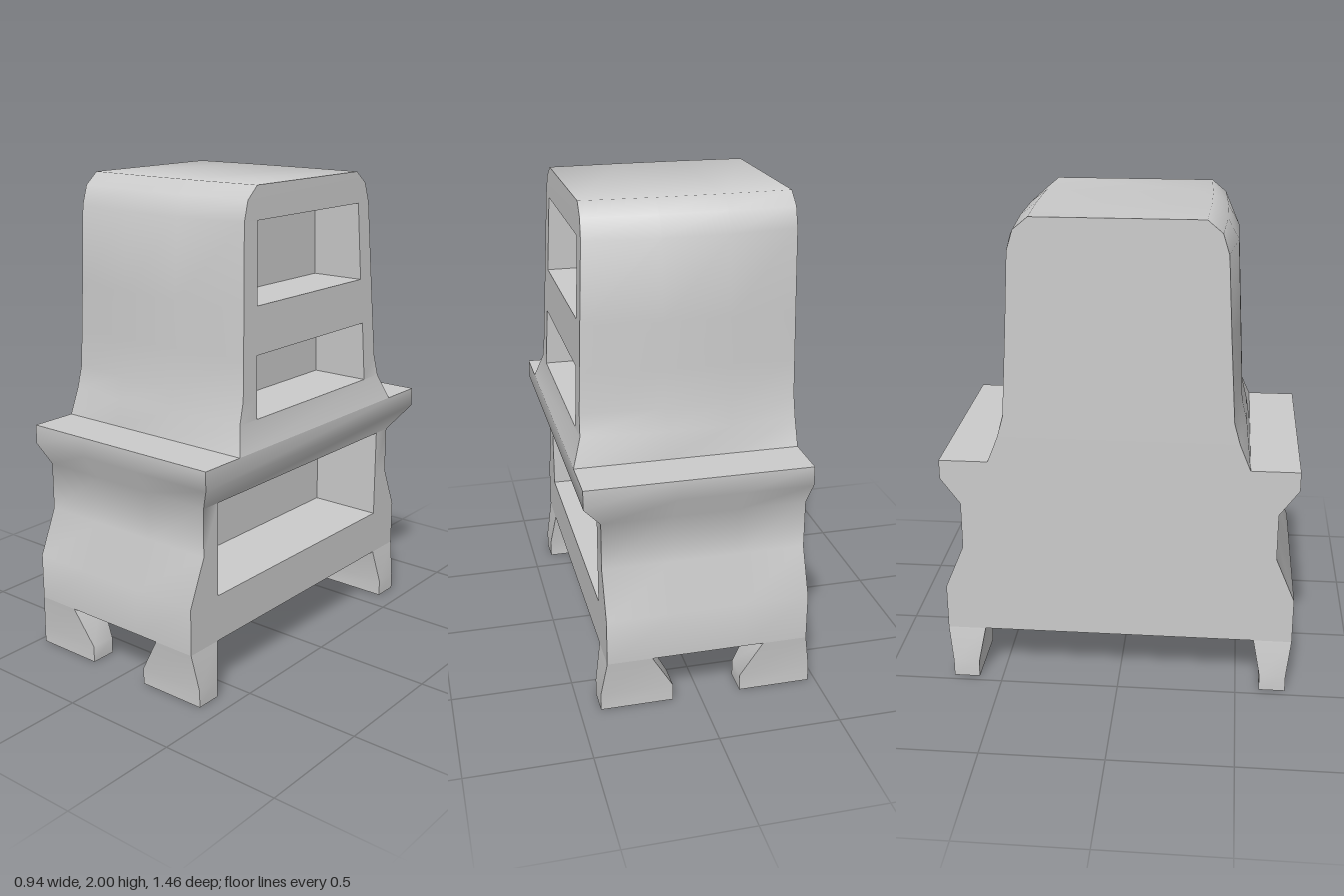
import * as THREE from 'three';
import { toCreasedNormals } from 'three/addons/utils/BufferGeometryUtils.js';

const BACK = -0.445;

// Collects quads (corners counter-clockwise from outside) into one geometry.
function quadSet() {
  const pos = [];
  return {
    quad(a, b, c, d) { for (const p of [a, b, c, a, c, d]) pos.push(...p); },
    mesh(name, material, crease = 0.7) {
      const g = new THREE.BufferGeometry();
      g.setAttribute('position', new THREE.Float32BufferAttribute(pos, 3));
      const m = new THREE.Mesh(toCreasedNormals(g, crease), material);
      m.name = name;
      return m;
    },
  };
}

// Levels from bottom to top: height, half width mid-side, half width at the ends, front x,
// and optionally an opening up to the next level: half width below, above, back wall x.
const levels = [
  { y: 0.225, zm: 0.73, ze: 0.73, x: 0.39 },
  { y: 0.42, zm: 0.73, ze: 0.73, x: 0.39, hole: [0.565, 0.565, 0.07] },
  { y: 0.61, zm: 0.65, ze: 0.65, x: 0.39 },
  { y: 0.81, zm: 0.65, ze: 0.65, x: 0.39 },
  { y: 0.92, zm: 0.73, ze: 0.73, x: 0.47 },
  { y: 1.0, zm: 0.73, ze: 0.73, x: 0.47 },
  { y: 1.0, zm: 0.53, ze: 0.53, x: 0.47 },
  { y: 1.11, zm: 0.512, ze: 0.485, x: 0.434, hole: [0.378, 0.368, 0.18] },
  { y: 1.2, zm: 0.49, ze: 0.46, x: 0.43 },
  { y: 1.36, zm: 0.482, ze: 0.45, x: 0.423 },
  { y: 1.55, zm: 0.472, ze: 0.438, x: 0.415, hole: [0.355, 0.342, 0.18] },
  { y: 1.87, zm: 0.455, ze: 0.42, x: 0.401 },
  { y: 1.95, zm: 0.41, ze: 0.395, x: 0.398 },
  { y: 2.0, zm: 0.345, ze: 0.335, x: 0.395 },
];

// Points along one side of a level, from back to front.
const row = (l, s) => [
  [BACK, l.y, s * l.ze], [-0.17, l.y, s * l.zm], [0.1, l.y, s * l.zm], [l.x, l.y, s * l.ze],
];

function buildShell(material) {
  const q = quadSet();
  for (let i = 0; i < levels.length - 1; i++) {
    const a = levels[i], b = levels[i + 1];
    // curved sides
    for (let k = 0; k < 3; k++) {
      const [l, u, ln, un] = [row(a, 1), row(b, 1), row(a, -1), row(b, -1)];
      q.quad(l[k], l[k + 1], u[k + 1], u[k]);
      q.quad(ln[k + 1], ln[k], un[k], un[k + 1]);
    }
    if (a.y === b.y) continue;
    // flat back
    q.quad([BACK, a.y, -a.ze], [BACK, a.y, a.ze], [BACK, b.y, b.ze], [BACK, b.y, -b.ze]);
    // front, left free where there is an opening
    const inLower = a.y >= 0.42 && b.y <= 0.81;
    const inMiddle = a.y >= 1.11 && b.y <= 1.36;
    const inUpper = a.y >= 1.55 && b.y <= 1.87;
    const F = (l, z) => [l.x, l.y, z];
    if (inLower || inMiddle || inUpper) {
      const start = levels.findLast((l, n) => n <= i && l.hole);
      const top = inLower ? 0.81 : inMiddle ? 1.36 : 1.87;
      const half = (y) => THREE.MathUtils.mapLinear(y, start.y, top, start.hole[0], start.hole[1]);
      const ha = half(a.y), hb = half(b.y);
      q.quad(F(a, a.ze), F(a, ha), F(b, hb), F(b, b.ze));
      q.quad(F(a, -ha), F(a, -a.ze), F(b, -b.ze), F(b, -hb));
    } else {
      q.quad(F(a, a.ze), F(a, -a.ze), F(b, -b.ze), F(b, b.ze));
    }
  }
  // underside and roof
  const bottom = levels[0], top = levels[levels.length - 1];
  for (let k = 0; k < 3; k++) {
    const [p, n, tp, tn] = [row(bottom, 1), row(bottom, -1), row(top, 1), row(top, -1)];
    q.quad(n[k], n[k + 1], p[k + 1], p[k]);
    q.quad(tp[k], tp[k + 1], tn[k + 1], tn[k]);
  }
  return q.mesh('cabinetBody', material);
}

// Inner walls of one open compartment.
function buildCompartment(name, lo, hi, material) {
  const q = quadSet();
  const [h0, h1, xb] = lo.hole;
  const P = (l, h, x) => [[x, l.y, h], [x, l.y, -h]];
  const [fl, fr] = P(lo, h0, lo.x), [fu, fv] = P(hi, h1, hi.x);
  const [bl, br] = P(lo, h0, xb), [bu, bv] = P(hi, h1, xb);
  q.quad(bl, br, bv, bu); // back wall
  q.quad(bl, fl, fr, br); // floor
  q.quad(bu, bv, fv, fu); // ceiling
  q.quad(fl, bl, bu, fu); // side at +z
  q.quad(br, fr, fv, bv); // side at -z
  return q.mesh(name, material, 0.3);
}

// Foot lofted from rectangles: y, outer x, inner x, inner z, outer z.
function buildFoot(name, sx, sz, material) {
  const mid = -0.0275;
  const sections = [
    [0, 0.4425, 0.1425, 0.6, 0.71],
    [0.07, 0.4425, 0.1425, 0.6, 0.71],
    [0.225, 0.4175, 0.2325, 0.57, 0.73],
  ];
  const rings = sections.map(([y, xo, xi, zi, zo]) => {
    const r = [[xi, zi], [xi, zo], [xo, zo], [xo, zi]].map(([x, z]) => [mid + sx * x, y, sz * z]);
    return sx * sz > 0 ? r : r.reverse();
  });
  const q = quadSet();
  for (let i = 0; i < 2; i++) {
    for (let k = 0; k < 4; k++) {
      const n = (k + 1) % 4;
      q.quad(rings[i][k], rings[i][n], rings[i + 1][n], rings[i + 1][k]);
    }
  }
  q.quad(...[...rings[0]].reverse()); // sole
  return q.mesh(name, material);
}

export function createModel() {
  const group = new THREE.Group();
  group.name = 'cabinet';
  const material = new THREE.MeshStandardMaterial({ color: 0xcccccc });
  group.add(buildShell(material));

  const at = (y) => levels.find((l) => l.y === y);
  group.add(buildCompartment('lowerCompartment', at(0.42), at(0.81), material));
  group.add(buildCompartment('middleCompartment', at(1.11), at(1.36), material));
  group.add(buildCompartment('upperCompartment', at(1.55), at(1.87), material));

  for (const sx of [-1, 1]) {
    for (const sz of [-1, 1]) {
      group.add(buildFoot(`${sx > 0 ? 'left' : 'right'}${sz > 0 ? 'Front' : 'Back'}Foot`, sx, sz, material));
    }
  }
  return group;
}
